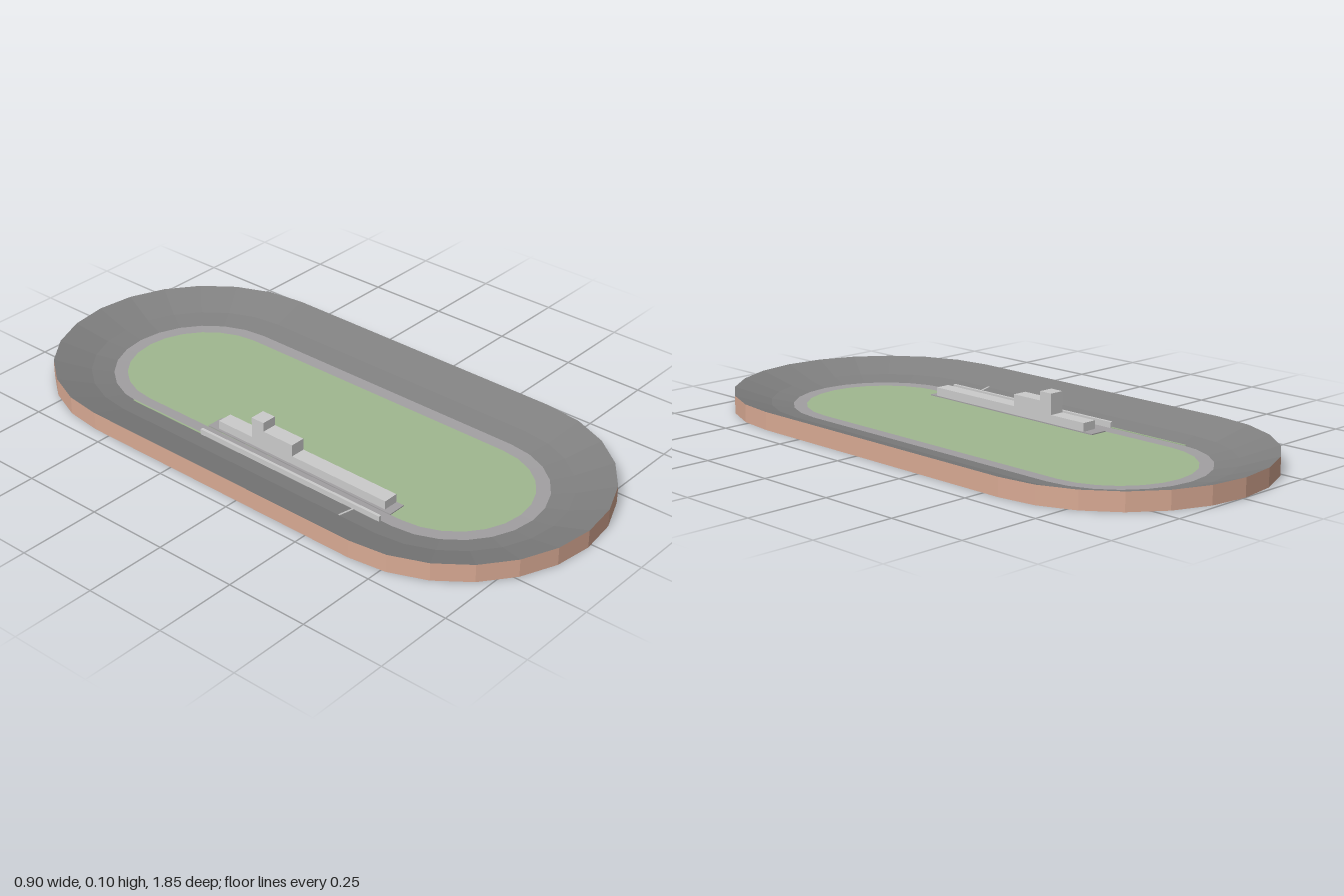
import * as THREE from 'three';

const material = (color) =>
  new THREE.MeshStandardMaterial({ color, flatShading: true, side: THREE.DoubleSide });

const ASPHALT = material(0x808080);
const APRON = material(0xa2a0a2);
const GRASS = material(0xa0b890);
const BRICK = material(0xd9aa94);
const GREY = material(0xcccccc);

const STEPS = 12; // facets per half-round turn

// Stadium-shaped loop: two half circles joined by straights
function oval(r, y) {
  const points = [];
  for (const [cx, cz, start] of [[0.234, 0.4, 0], [0.239, -0.555, Math.PI]]) {
    for (let i = 0; i <= STEPS; i++) {
      const a = start + (i / STEPS) * Math.PI;
      points.push([cx + r * Math.cos(a), y, cz + r * Math.sin(a)]);
    }
  }
  return points;
}

// Surface joining a chain of ovals given as [radius, height]
function band(name, mat, profile) {
  const loops = profile.map(([r, y]) => oval(r, y));
  const n = loops[0].length;
  const index = [];
  for (let k = 0; k < loops.length - 1; k++) {
    for (let i = 0; i < n; i++) {
      const a = k * n + i, b = k * n + ((i + 1) % n);
      index.push(a, a + n, b, b, a + n, b + n);
    }
  }
  const geometry = new THREE.BufferGeometry();
  geometry.setAttribute('position', new THREE.Float32BufferAttribute(loops.flat(2), 3));
  geometry.setIndex(index);
  geometry.computeVertexNormals();
  const mesh = new THREE.Mesh(geometry, mat);
  mesh.name = name;
  return mesh;
}

// Box given by its limits on each axis
function block(name, mat, [x0, x1], [y0, y1], [z0, z1]) {
  const mesh = new THREE.Mesh(new THREE.BoxGeometry(x1 - x0, y1 - y0, z1 - z0), mat);
  mesh.position.set((x0 + x1) / 2, (y0 + y1) / 2, (z0 + z1) / 2);
  mesh.name = name;
  return mesh;
}

export function createModel() {
  const model = new THREE.Group();
  model.name = 'ovalSpeedway';

  // Ground ring, outer wall and banked racing surface
  model.add(
    band('base', GREY, [[0.335, 0], [0.446, 0]]),
    band('outerWall', BRICK, [[0.446, 0], [0.446, 0.054]]),
    band('upperBanking', ASPHALT, [[0.446, 0.054], [0.335, 0.018]]),
    band('lowerBanking', ASPHALT, [[0.335, 0.018], [0.268, 0.006]]),
    band('apron', APRON, [[0.268, 0.006], [0.228, 0.005]])
  );

  // Flat grass infield
  const outline = new THREE.Shape(oval(0.228, 0).map(([x, , z]) => new THREE.Vector2(x, -z)));
  const infield = new THREE.Mesh(new THREE.ShapeGeometry(outline).rotateX(-Math.PI / 2), GRASS);
  infield.position.y = 0.005;
  infield.name = 'infield';
  model.add(infield);

  // Pit complex, turned slightly to follow the straight
  const pits = new THREE.Group();
  pits.name = 'pits';
  pits.rotation.y = -0.01;
  const depth = [0.016, 0.063];
  pits.add(
    block('pitLane', APRON, [0.008, 0.065], [0.004, 0.008], [-0.315, 0.365]),
    block('garages', GREY, depth, [0.005, 0.034], [-0.28, 0.34]),
    block('suites', GREY, depth, [0.034, 0.07], [-0.105, 0.003]),
    block('tower', GREY, depth, [0.034, 0.098], [-0.15, -0.105]),
    block('pitWall', GREY, [-0.039, -0.03], [0.004, 0.024], [-0.3, 0.365]),
    block('grassStrip', GRASS, [-0.037, -0.032], [0.004, 0.008], [-0.58, -0.3])
  );
  model.add(pits);

  // Finish line lying on the lower banking
  const line = block('finishLine', GREY, [-0.035, 0.035], [-0.001, 0.001], [-0.003, 0.003]);
  line.position.set(-0.066, 0.0135, 0.275);
  line.rotation.z = -Math.atan2(0.012, 0.067);
  model.add(line);

  return model;
}
